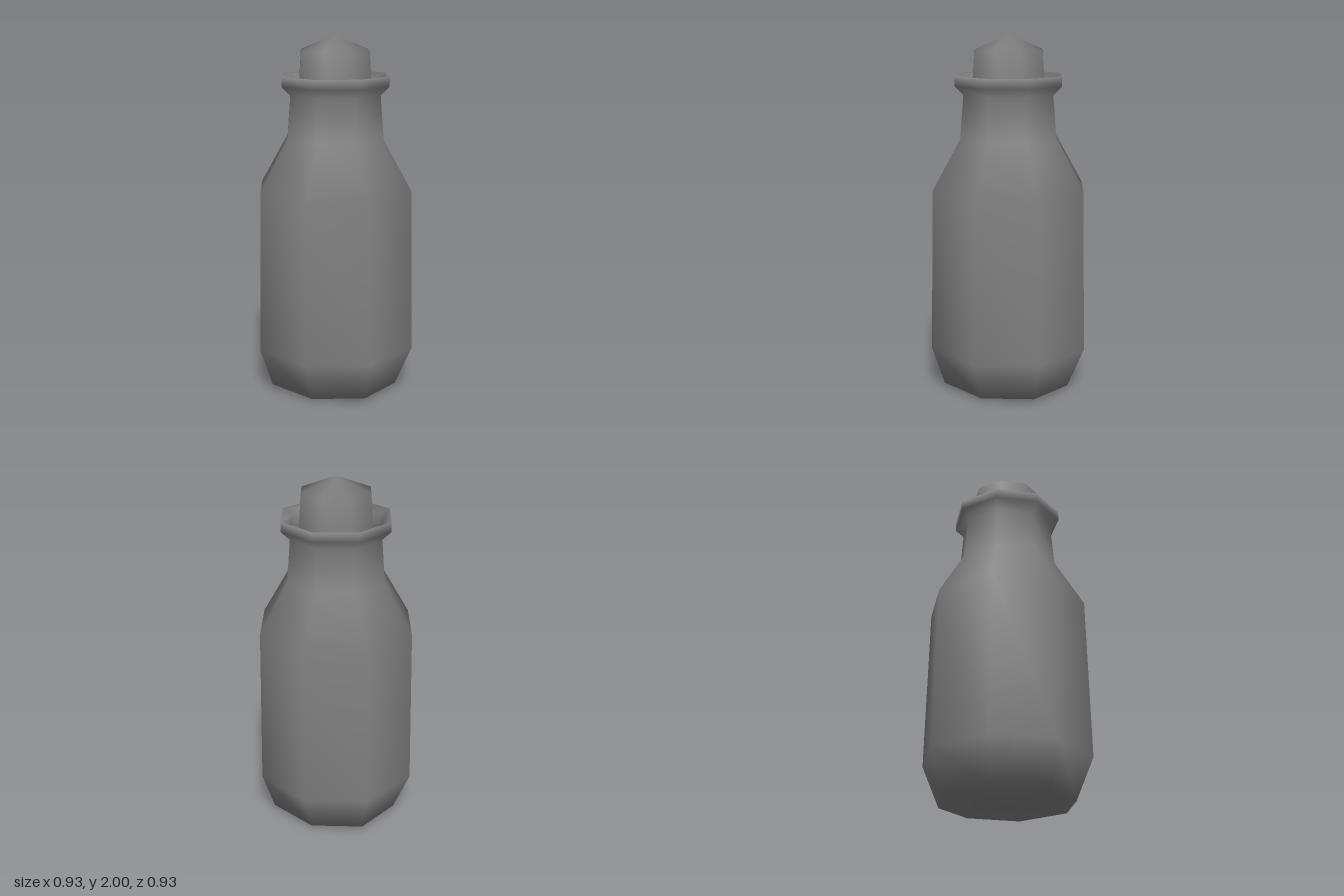
import * as THREE from 'three';
import { mergeVertices } from 'three/addons/utils/BufferGeometryUtils.js';

const SIDES = 8;

// Eight-sided turned geometry from a [radius, height] profile
function turned(profile) {
  return new THREE.LatheGeometry(profile.map(([r, y]) => new THREE.Vector2(r, y)), SIDES);
}

// Weld the seam and poles so the shading is smooth all over
function smoothPart(name, geometry) {
  geometry.deleteAttribute('uv');
  geometry.deleteAttribute('normal');
  const welded = mergeVertices(geometry, 1e-4);
  welded.computeVertexNormals();
  const mesh = new THREE.Mesh(welded, new THREE.MeshStandardMaterial({ color: 0x808080 }));
  mesh.name = name;
  return mesh;
}

export function createModel() {
  const group = new THREE.Group();
  group.name = 'bottle';

  // Bottle shell: base, body, shoulder, neck, flared lip and the inside of the mouth
  const baseY = 0.018;
  const body = turned([
    [0, 0], [0.37, baseY], [0.467, 0.25], [0.449, 1.16], [0.285, 1.44],
    [0.265, 1.68], [0.315, 1.73], [0.315, 1.785],
    [0.258, 1.76], [0.24, 1.66], [0.238, 1.4],
  ]);

  // The diagonal corners of the base sit slightly wider and higher
  const p = body.attributes.position;
  for (let i = 0; i < p.count; i++) {
    const x = p.getX(i), z = p.getZ(i);
    if (Math.abs(p.getY(i) - baseY) < 0.005 && Math.abs(x * z) > 0.01) {
      p.setXYZ(i, x * 1.07, 0.028, z * 1.07);
    }
  }
  group.add(smoothPart('bottleBody', body));

  // Stopper: pointed top, widening slowly down into the neck
  group.add(smoothPart('stopper', turned([
    [0, 1.38], [0.236, 1.4], [0.2, 1.92], [0, 2],
  ])));

  return group;
}
